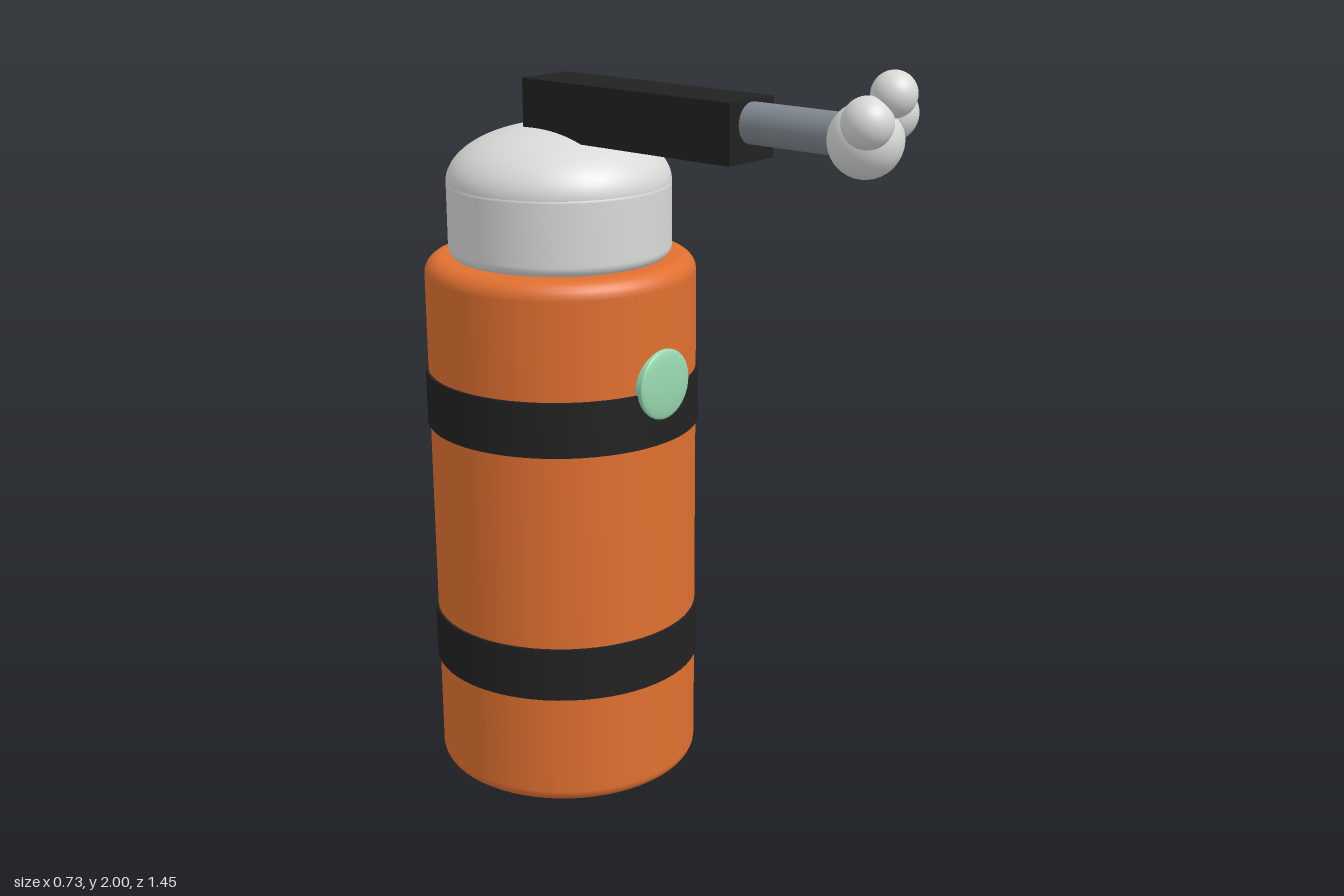
import * as THREE from 'three';

const mat = (name, color) => {
  const m = new THREE.MeshStandardMaterial({ color });
  m.name = name;
  return m;
};

// Outline of a cylinder with rounded rims, for turning on a lathe
function roundedCan(radius, y0, y1, rBottom, rTop, segments = 64) {
  const pts = [new THREE.Vector2(0, y0)];
  const steps = 6;
  for (let i = 0; i <= steps; i++) {
    const a = (i / steps) * Math.PI / 2;
    pts.push(new THREE.Vector2(radius - rBottom + rBottom * Math.sin(a), y0 + rBottom - rBottom * Math.cos(a)));
  }
  for (let i = 0; i <= steps; i++) {
    const a = (i / steps) * Math.PI / 2;
    pts.push(new THREE.Vector2(radius - rTop + rTop * Math.cos(a), y1 - rTop + rTop * Math.sin(a)));
  }
  pts.push(new THREE.Vector2(0, y1));
  return new THREE.LatheGeometry(pts, segments);
}

export function createModel() {
  const model = new THREE.Group();
  const orange = mat('orange', 0xe07030);
  const black = mat('black', 0x222222);
  const lightGrey = mat('lightGrey', 0xd8dad8);
  const steel = mat('steel', 0x808890);
  const green = mat('mintGreen', 0x98d8b0);
  const axisZ = -0.36;

  const add = (name, geometry, material, x, y, z) => {
    const mesh = new THREE.Mesh(geometry, material);
    mesh.name = name;
    mesh.position.set(x, y, z);
    model.add(mesh);
    return mesh;
  };

  // Tank with two straps
  add('tankBody', roundedCan(0.358, 0, 1.44, 0.035, 0.045), orange, 0, 0, axisZ);
  for (const [name, y] of [['lowerStrap', 0.385], ['upperStrap', 1.063]]) {
    add(name, new THREE.CylinderGeometry(0.365, 0.365, 0.146, 64), black, 0, y, axisZ);
  }

  // Neck and domed lid
  add('neck', roundedCan(0.294, 1.435, 1.64, 0.03, 0.015), lightGrey, 0, 0, axisZ);
  const dome = add('dome',
    new THREE.SphereGeometry(0.294, 64, 20, 0, Math.PI * 2, 0, Math.PI / 2), lightGrey, 0, 1.632, axisZ);
  dome.scale.y = 0.15 / 0.294;

  // Round lens on the front of the tank
  const lensProfile = [new THREE.Vector2(0.093, -0.02)];
  for (let i = 0; i <= 10; i++) {
    const a = (i / 10) * Math.PI / 2;
    lensProfile.push(new THREE.Vector2(0.093 * Math.cos(a), 0.003 + 0.013 * Math.sin(a)));
  }
  const lens = add('frontLens', new THREE.LatheGeometry(lensProfile, 40), green, 0, 1.148, 0);
  lens.rotation.x = Math.PI / 2;

  // Arm reaching forward
  add('armHousing', new THREE.BoxGeometry(0.166, 0.148, 0.677), black, 0, 1.825, -0.065);
  const rod = add('armRod', new THREE.CylinderGeometry(0.05, 0.05, 0.36, 32), steel, 0, 1.844, 0.41);
  rod.rotation.x = Math.PI / 2;

  // Cluster of balls at the tip of the arm
  const balls = [
    ['tipBall', 0.088, 0, 1.838, 0.597],
    ['leftBall', 0.063, 0.066, 1.893, 0.618],
    ['rightBall', 0.06, -0.055, 1.887, 0.638],
    ['topBall', 0.053, 0, 1.947, 0.668],
  ];
  for (const [name, r, x, y, z] of balls) {
    add(name, new THREE.SphereGeometry(r, 32, 20), lightGrey, x, y, z);
  }

  return model;
}
